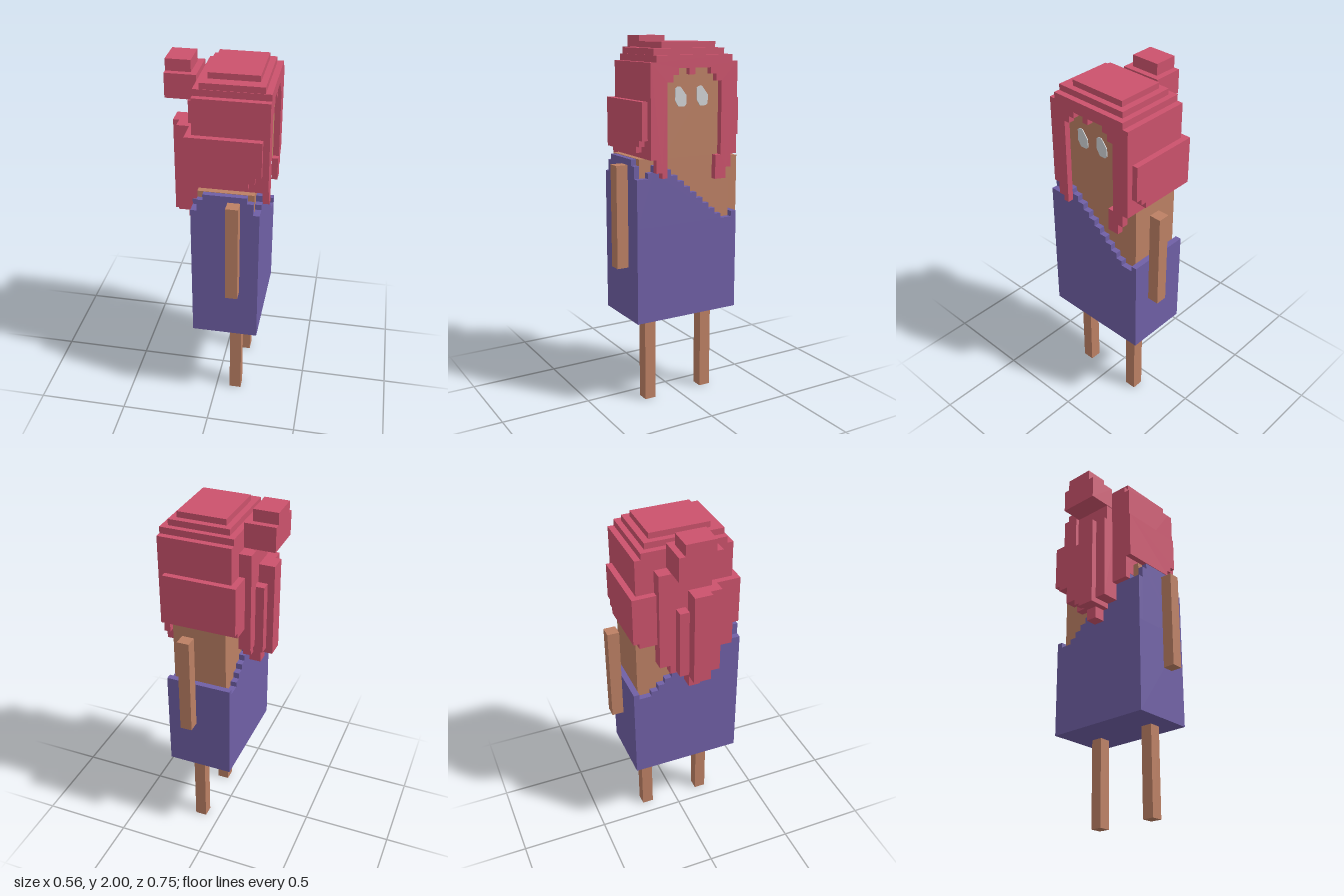
import * as THREE from 'three';

export function createModel() {
  const root = new THREE.Group();
  root.name = 'blockFigure';
  const mat = (name, color) => Object.assign(new THREE.MeshStandardMaterial({ color }), { name });
  const skin = mat('skin', 0xbc8064);
  const hair = mat('hair', 0xcb526c);
  const dress = mat('dress', 0x6f5fa5);
  const eyeWhite = mat('eyeWhite', 0xd0d2d4);

  const add = (name, geo, m) => {
    const mesh = new THREE.Mesh(geo, m);
    mesh.name = name;
    root.add(mesh);
    return mesh;
  };
  // Box from its limits on each axis
  const box = (name, m, x0, x1, y0, y1, z0, z1) =>
    add(name, new THREE.BoxGeometry(x1 - x0, y1 - y0, z1 - z0)
      .translate((x0 + x1) / 2, (y0 + y1) / 2, (z0 + z1) / 2), m);
  const extrude = (pts, depth) => new THREE.ExtrudeGeometry(
    new THREE.Shape(pts.map(([a, b]) => new THREE.Vector2(a, b))), { depth, bevelEnabled: false });
  // Plate outlined in (z, y), thick along x
  const plateX = (name, m, pts, x0, x1) =>
    add(name, extrude(pts.map(([z, y]) => [-z, y]), x1 - x0).rotateY(Math.PI / 2).translate(x0, 0, 0), m);
  // Plate outlined in (x, y), thick along z
  const plateZ = (name, m, pts, z0, z1) => add(name, extrude(pts, z1 - z0).translate(0, 0, z0), m);
  // Stepped outline: each run is [start, end, height], standing on a base height
  const steps = (runs, base) => [
    [runs[0][0], base],
    ...runs.flatMap(([a, b, h]) => [[a, h], [b, h]]),
    [runs[runs.length - 1][1], base],
  ];

  // Legs and arms
  for (const s of [1, -1]) {
    const side = s > 0 ? 'A' : 'B';
    box('leg' + side, skin, 0.08, 0.146, 0, 0.5, s * 0.18 - 0.033, s * 0.18 + 0.033);
    box('arm' + side, skin, 0.08, 0.146, 0.79, 1.345, s * 0.344 - 0.033, s * 0.344 + 0.033);
  }

  // Torso and head
  box('torso', skin, -0.082, 0.213, 1.02, 1.38, -0.277, 0.279);
  box('head', skin, 0, 0.246, 1.38, 1.87, -0.19, 0.16);

  // One-shouldered dress: solid skirt, stepped front and back, side walls
  box('dressBody', dress, -0.115, 0.246, 0.497, 1.02, -0.31, 0.31);
  const neckline = [[0.31, 0.246, 1.28], [0.246, 0.213, 1.31], [0.213, 0.148, 1.345]];
  for (let i = 0; i < 9; i++) {
    const z = 0.148 - i * 0.0395;
    neckline.push([z, z - 0.0395, 1.318 - i * 0.0335]);
  }
  neckline.push([-0.2075, -0.277, 1.022], [-0.277, -0.31, 1.053]);
  plateX('dressFront', dress, steps(neckline, 1.015), 0.213, 0.246);
  plateX('dressBack', dress, steps(neckline, 1.015), -0.115, -0.082);
  plateZ('dressShoulderSide', dress, steps([[-0.082, -0.05, 1.345], [-0.05, 0.18, 1.378],
    [0.18, 0.213, 1.345]], 1.015), 0.279, 0.31);
  box('dressShoulderStrap', dress, -0.05, 0.18, 1.3, 1.378, 0.246, 0.28);
  box('dressOpenSide', dress, -0.082, 0.213, 1.015, 1.053, -0.31, -0.277);

  // Hair cap in stepped layers
  box('hairCap', hair, -0.115, 0.245, 1.38, 1.87, -0.279, 0.246);
  box('hairLayerLow', hair, -0.115, 0.279, 1.87, 1.905, -0.246, 0.213);
  box('hairLayerMid', hair, -0.082, 0.246, 1.905, 1.938, -0.215, 0.21);
  box('hairLayerTop', hair, -0.05, 0.213, 1.938, 1.97, -0.18, 0.147);
  // Fringe framing the face, with strands hanging at both sides
  plateX('hairFringe', hair, [
    [0.246, 1.87], [0.246, 1.38], [0.213, 1.38], [0.213, 1.31], [0.18, 1.31], [0.18, 1.28],
    [0.148, 1.28], [0.148, 1.77], [0.115, 1.77], [0.115, 1.807], [0.082, 1.807], [0.082, 1.84],
    [0.018, 1.84], [0.018, 1.807], [-0.016, 1.807], [-0.016, 1.84], [-0.113, 1.84],
    [-0.113, 1.807], [-0.146, 1.807], [-0.146, 1.77], [-0.18, 1.77], [-0.18, 1.38],
    [-0.147, 1.38], [-0.147, 1.25], [-0.213, 1.25], [-0.213, 1.31], [-0.246, 1.31],
    [-0.246, 1.38], [-0.279, 1.38], [-0.279, 1.87]], 0.245, 0.279);

  // Raised locks on both sides of the head
  const lock = [[-0.148, 1.675], [-0.148, 1.41], [0.18, 1.41], [0.18, 1.443],
    [0.213, 1.443], [0.213, 1.477], [0.246, 1.477], [0.246, 1.675]];
  plateZ('sideLockA', hair, lock, 0.246, 0.279);
  plateZ('sideLockB', hair, lock, -0.311, -0.279);

  // Hair down the back, and small strands at the nape
  box('backHair', hair, -0.148, -0.115, 1.38, 1.675, -0.279, 0.246);
  box('napeStrandA', hair, -0.148, -0.115, 1.28, 1.38, 0.147, 0.246);
  box('napeStrandB', hair, -0.115, -0.083, 1.312, 1.38, 0.18, 0.246);
  box('backPanel', hair, -0.16, -0.115, 1.18, 1.8, -0.115, 0.113);
  [
    [-0.181, 1.25, 1.8, -0.181, -0.115],
    [-0.215, 1.19, 1.58, -0.082, -0.03],
    [-0.247, 1.15, 1.675, -0.016, 0.082],
    [-0.215, 1.18, 1.675, 0.082, 0.147],
    [-0.181, 1.083, 1.4, -0.016, 0.05],
  ].forEach(([x, y0, y1, z0, z1], i) => box('backStrand' + (i + 1), hair, x, -0.115, y0, y1, z0, z1));

  // Bun
  box('bun', hair, -0.28, -0.115, 1.805, 1.937, -0.115, 0.113);
  box('bunTop', hair, -0.28, -0.148, 1.937, 2, -0.082, 0.08);

  // Eyes
  for (const z of [0.052, -0.079]) {
    plateX('eye', eyeWhite, [[0.034, 1.735], [0.022, 1.745], [0.002, 1.745], [-0.034, 1.7],
      [-0.034, 1.655], [-0.022, 1.643], [0.014, 1.643], [0.034, 1.675]]
      .map(([a, y]) => [a + z, y]), 0.246, 0.25);
  }
  return root;
}
